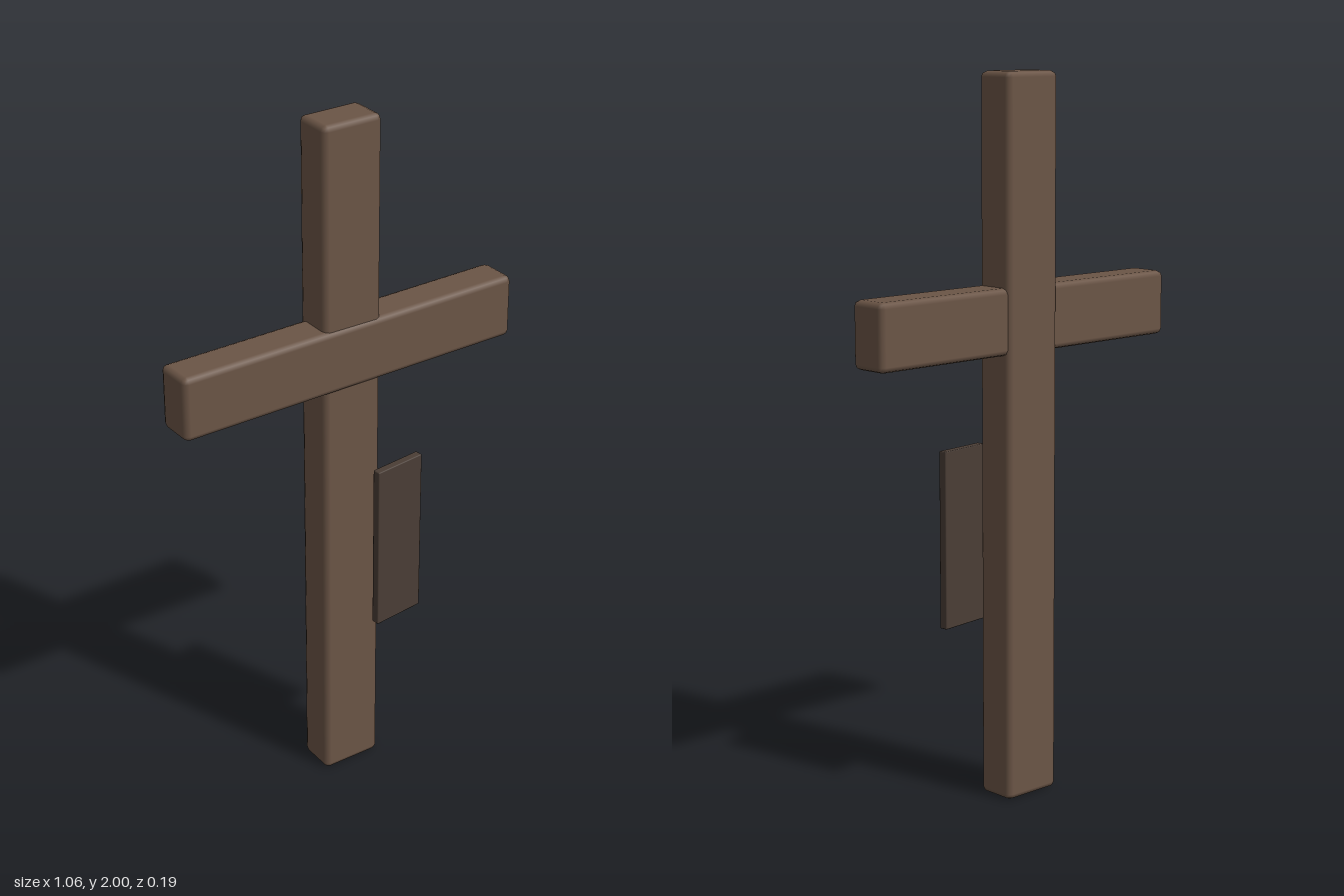
import * as THREE from 'three';
import { RoundedBoxGeometry } from 'three/addons/geometries/RoundedBoxGeometry.js';

export function createModel() {
  const group = new THREE.Group();
  const wood = new THREE.MeshStandardMaterial({ color: 0x6b5546 });
  const darkWood = new THREE.MeshStandardMaterial({ color: 0x4a3d35 });

  // A box with softly chamfered edges, turned about the vertical axis
  function plank(name, size, position, degrees, bevel, material) {
    const mesh = new THREE.Mesh(new RoundedBoxGeometry(...size, 1, bevel), material);
    mesh.name = name;
    mesh.position.set(...position);
    mesh.rotation.y = THREE.MathUtils.degToRad(degrees);
    group.add(mesh);
  }

  // Upright post
  plank('post', [0.18, 2, 0.117], [-0.001, 1, -0.014], 3, 0.016, wood);
  // Crossbar, slightly askew to the post
  plank('crossbar', [1.059, 0.182, 0.115], [0, 1.339, -0.005], 4, 0.016, wood);
  // Thin board hanging off the front of the post
  plank('board', [0.16, 0.497, 0.024], [0.132, 0.738, 0.069], 10, 0.003, darkWood);

  return group;
}
